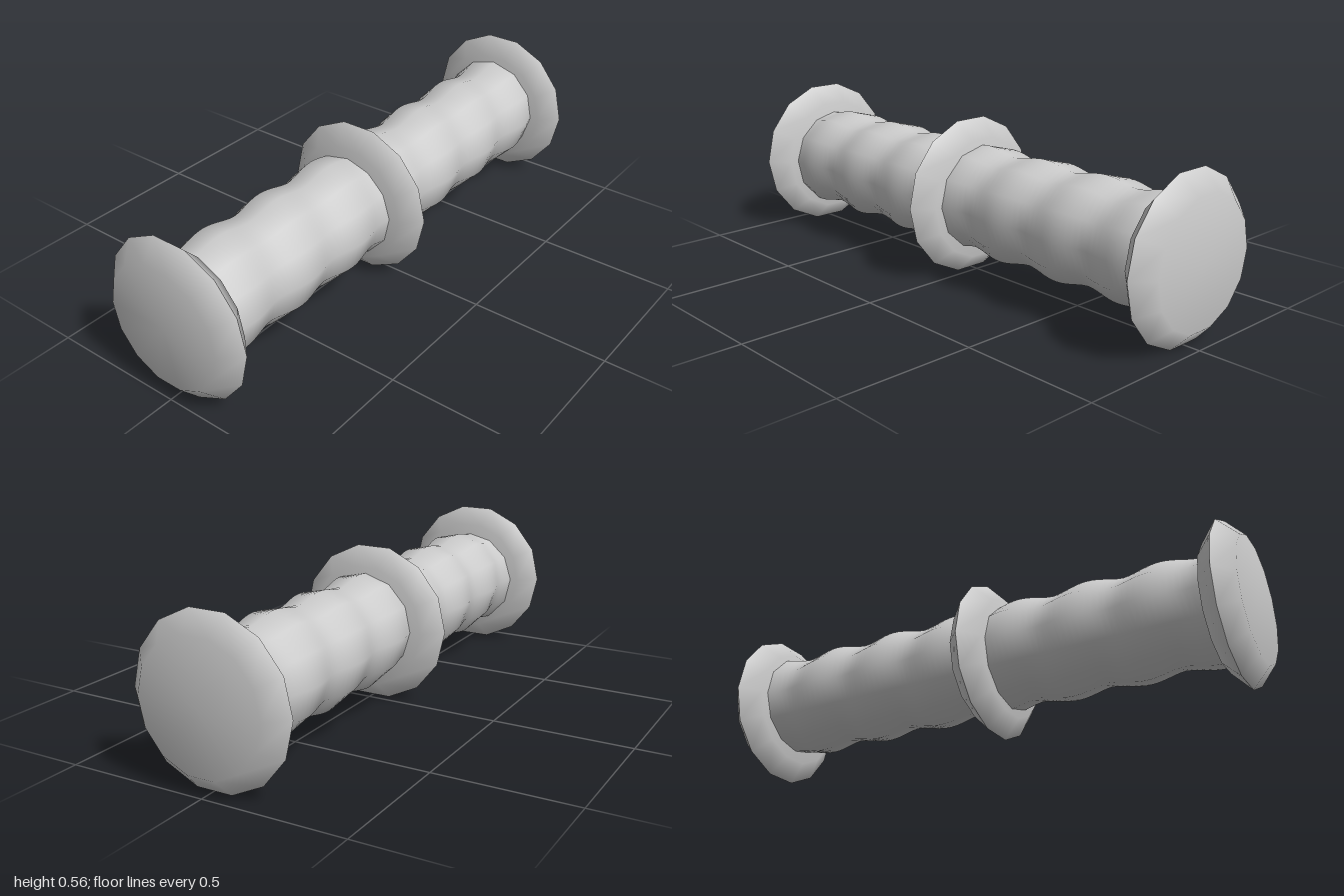
import * as THREE from 'three';
import { mergeVertices } from 'three/addons/utils/BufferGeometryUtils.js';

const CENTRE_Y = 0.282;
const grey = new THREE.MeshStandardMaterial({ color: 0xcccccc });
grey.name = 'plain grey';

// Half of a bevelled collar: smooth over the face, creased at the rim
function collarHalf(points) {
  const profile = points.map(([r, y]) => new THREE.Vector2(r, y));
  const geo = new THREE.LatheGeometry(profile, 14, Math.PI / 2);
  geo.rotateX(Math.PI / 2);
  return new THREE.Mesh(geo, grey);
}

function collar(name, z) {
  const group = new THREE.Group();
  group.name = name;
  const rim = 0.289, face = 0.222, half = 0.063;
  const back = collarHalf([[0, -half], [face, -half], [rim, 0]]);
  const front = collarHalf([[rim, 0], [face, half], [0, half]]);
  back.name = name + 'Back';
  front.name = name + 'Front';
  group.add(back, front);
  group.position.z = z;
  return group;
}

// Twelve-sided shaft whose surface swells along a single helical ridge
function twistedShaft() {
  const pitch = 0.267;
  let geo = new THREE.CylinderGeometry(1, 1, 1.87, 12, 84, true);
  geo.rotateX(Math.PI / 2);
  geo.deleteAttribute('uv');
  geo.deleteAttribute('normal');
  geo = mergeVertices(geo, 1e-4);
  const p = geo.attributes.position;
  for (let i = 0; i < p.count; i++) {
    const angle = Math.atan2(p.getY(i), p.getX(i));
    const wave = (1 + Math.cos(angle + (2 * Math.PI * p.getZ(i)) / pitch)) / 2;
    const r = 0.178 + 0.021 * Math.pow(wave, 0.8);
    p.setXY(i, r * Math.cos(angle), r * Math.sin(angle));
  }
  geo.computeVertexNormals();
  const mesh = new THREE.Mesh(geo, grey);
  mesh.name = 'twistedShaft';
  return mesh;
}

export function createModel() {
  const model = new THREE.Group();
  model.name = 'collaredShaft';
  const body = new THREE.Group();
  body.name = 'body';
  body.position.y = CENTRE_Y;
  body.add(
    twistedShaft(),
    collar('frontCollar', 0.937),
    collar('middleCollar', 0.033),
    collar('backCollar', -0.937)
  );
  model.add(body);
  return model;
}
